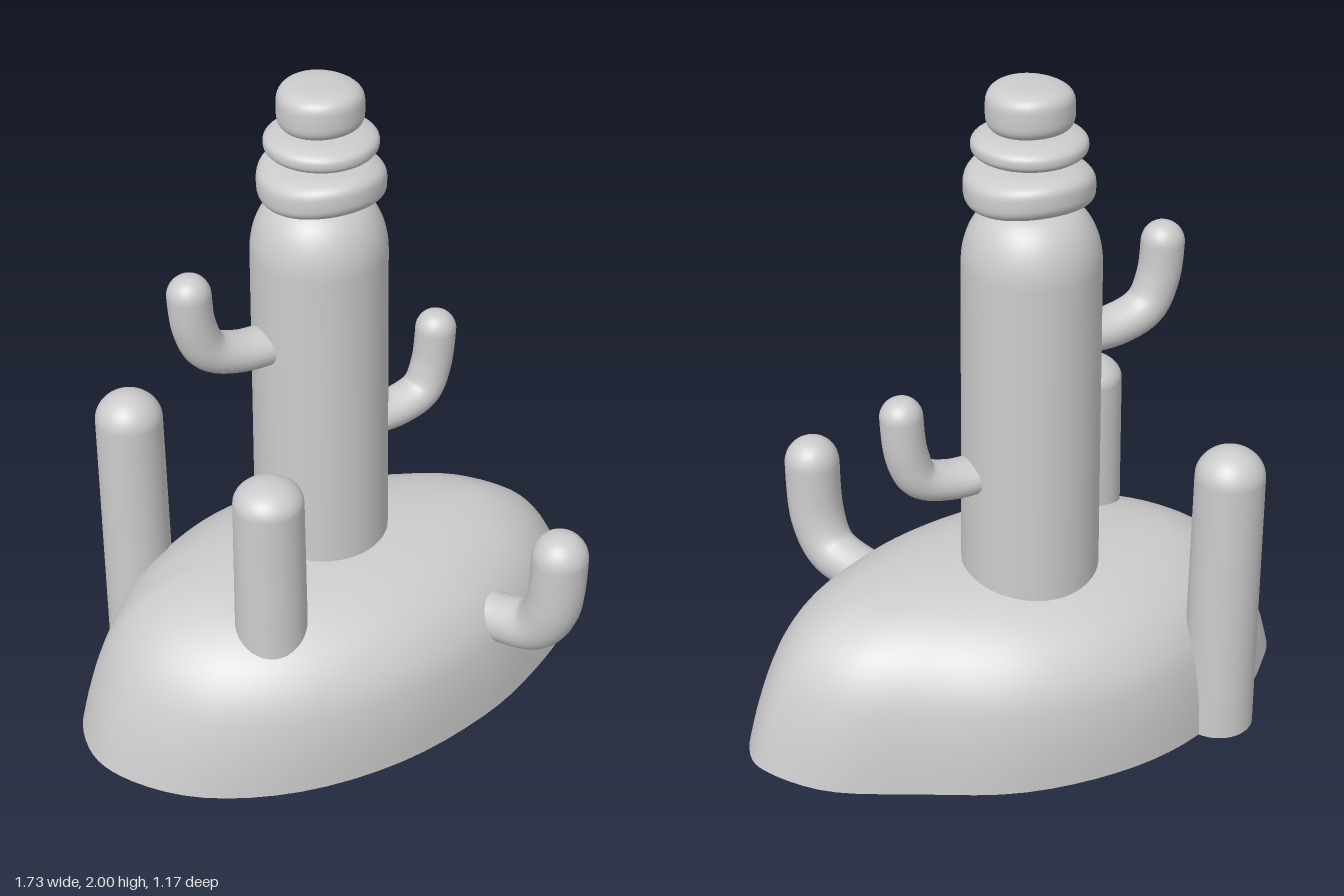
import * as THREE from 'three';
import { mergeVertices } from 'three/addons/utils/BufferGeometryUtils.js';

const material = new THREE.MeshStandardMaterial({ color: 0xcccccc, side: THREE.DoubleSide });
const V = (x, y, z) => new THREE.Vector3(x, y, z);

function smooth(geometry) {
  geometry.deleteAttribute('uv');
  geometry.deleteAttribute('normal');
  const merged = mergeVertices(geometry, 1e-5);
  merged.computeVertexNormals();
  return merged;
}

function addPart(group, name, geometry, x = 0, y = 0, z = 0) {
  const mesh = new THREE.Mesh(geometry, material);
  mesh.name = name;
  mesh.position.set(x, y, z);
  group.add(mesh);
}

// Egg-shaped open shell: a closed plan outline that shrinks as it rises
function moundGeometry() {
  const outline = new THREE.CatmullRomCurve3([
    [0.86, -0.06], [0.82, 0.06], [0.70, 0.195], [0.49, 0.315], [0.26, 0.40], [-0.09, 0.445],
    [-0.43, 0.39], [-0.69, 0.25], [-0.83, 0.07], [-0.865, -0.06], [-0.83, -0.21], [-0.757, -0.30],
    [-0.62, -0.42], [-0.34, -0.55], [-0.09, -0.585], [0.21, -0.545], [0.49, -0.415],
    [0.72, -0.285], [0.835, -0.14],
  ].map(([x, z]) => V(x, 0, z)), true);
  // height, x scale, z scale
  const profile = new THREE.CatmullRomCurve3([
    [0, 1, 1], [0.1, 0.967, 1], [0.2, 0.925, 0.985], [0.29, 0.875, 0.945], [0.37, 0.805, 0.85],
    [0.43, 0.71, 0.72], [0.475, 0.585, 0.56], [0.505, 0.38, 0.37], [0.517, 0.19, 0.18], [0.52, 0, 0],
  ].map(([y, kx, kz]) => V(kx, y, kz)));
  const n = 80, rows = 30, positions = [], index = [];
  for (let j = 0; j <= rows; j++) {
    const k = profile.getPoint(j / rows);
    for (let i = 0; i < n; i++) {
      const p = outline.getPoint(i / n);
      positions.push(p.x * k.x, k.y, -0.07 + (p.z + 0.07) * k.z);
      if (j === rows) continue;
      const a = j * n + i, b = j * n + (i + 1) % n;
      index.push(a, a + n, b, b, a + n, b + n);
    }
  }
  const geometry = new THREE.BufferGeometry();
  geometry.setAttribute('position', new THREE.Float32BufferAttribute(positions, 3));
  geometry.setIndex(index);
  geometry.computeVertexNormals();
  return geometry;
}

// Upright column, open below, with a domed top; slope tilts the bottom rim along z
function columnGeometry(bottom, top, r0, r1, dome, capRadius, slope = 0) {
  const points = [new THREE.Vector2(r0, bottom)];
  for (let i = 1; i <= 6; i++) {
    const t = i / 6;
    points.push(new THREE.Vector2(r0 + (r1 - r0) * t, bottom + (top - dome - bottom) * t));
  }
  for (let i = 1; i <= 12; i++) {
    const a = (i / 12) * Math.PI / 2;
    points.push(new THREE.Vector2(capRadius + (r1 - capRadius) * Math.cos(a), top - dome + dome * Math.sin(a)));
  }
  if (capRadius > 0) points.push(new THREE.Vector2(0, top));
  const geometry = new THREE.LatheGeometry(points, 48);
  const p = geometry.attributes.position;
  for (let i = 0; i < p.count; i++) {
    if (p.getY(i) < bottom + 1e-4) p.setY(i, bottom - slope * p.getZ(i));
  }
  return smooth(geometry);
}

// Bent limb: a tube that swells, with an oval root and a rounded tip
function limbGeometry(path, rootRadius, tipRadius, ovalZ) {
  const segments = 90, sides = 24;
  const curve = new THREE.CatmullRomCurve3(path, false, 'centripetal');
  const length = curve.getLength();
  const geometry = new THREE.TubeGeometry(curve, segments, 1, sides, false);
  const p = geometry.attributes.position, v = V(0, 0, 0);
  for (let i = 0; i <= segments; i++) {
    const t = i / segments, c = curve.getPointAt(t);
    const swell = Math.min(1, t / 0.6);
    let r = rootRadius + (tipRadius - rootRadius) * swell;
    const left = (1 - t) * length;
    if (left < tipRadius) r *= Math.sqrt(Math.max(0, 1 - (1 - left / tipRadius) ** 2));
    for (let j = 0; j <= sides; j++) {
      const k = i * (sides + 1) + j;
      v.fromBufferAttribute(p, k).sub(c).multiplyScalar(r);
      v.z *= ovalZ + (1 - ovalZ) * swell;
      v.add(c);
      p.setXYZ(k, v.x, v.y, v.z);
    }
  }
  return smooth(geometry);
}

// Flattened round stone, slightly saddle-bent
function stoneGeometry(radius, height, power, bend) {
  const points = [];
  for (let i = 0; i <= 32; i++) {
    const a = -Math.PI / 2 + (i / 32) * Math.PI;
    const c = Math.max(0, Math.cos(a)), s = Math.sin(a);
    points.push(new THREE.Vector2(radius * c ** power, (height / 2) * Math.sign(s) * Math.abs(s) ** power));
  }
  const geometry = new THREE.LatheGeometry(points, 48);
  const p = geometry.attributes.position;
  for (let i = 0; i < p.count; i++) {
    const x = p.getX(i) / radius, z = p.getZ(i) / radius;
    p.setY(i, p.getY(i) - bend * (x * x - z * z));
  }
  return smooth(geometry);
}

export function createModel() {
  const model = new THREE.Group();
  model.name = 'cactusMound';

  addPart(model, 'mound', moundGeometry());

  // Columns
  addPart(model, 'trunk', columnGeometry(0, 1.66, 0.208, 0.197, 0.18, 0.08), -0.02, 0, -0.13);
  addPart(model, 'backColumn', columnGeometry(0, 0.945, 0.108, 0.102, 0.09, 0), -0.483, 0, -0.48);
  addPart(model, 'frontColumn', columnGeometry(0.43, 0.968, 0.107, 0.102, 0.07, 0, 0.4), -0.36, 0, 0.155);

  // Bent limbs
  addPart(model, 'leftArm', limbGeometry([
    V(0.1, 0.845, -0.13), V(0.25, 0.847, -0.13), V(0.335, 0.88, -0.13),
    V(0.37, 0.96, -0.13), V(0.385, 1.145, -0.125),
  ], 0.05, 0.062, 1.45));
  addPart(model, 'rightArm', limbGeometry([
    V(-0.1, 1.22, -0.13), V(-0.29, 1.225, -0.13), V(-0.385, 1.265, -0.13),
    V(-0.425, 1.35, -0.13), V(-0.44, 1.52, -0.13),
  ], 0.053, 0.063, 1.4));
  addPart(model, 'frontSprout', limbGeometry([
    V(0.27, 0.30, 0.17), V(0.355, 0.30, 0.35), V(0.395, 0.33, 0.435),
    V(0.415, 0.42, 0.485), V(0.42, 0.70, 0.505),
  ], 0.067, 0.085, 1.15));

  // Stacked stones
  addPart(model, 'lowerStone', stoneGeometry(0.182, 0.13, 0.6, 0.012), -0.018, 1.714, -0.117);
  addPart(model, 'middleStone', stoneGeometry(0.161, 0.085, 0.75, 0), -0.018, 1.828, -0.117);
  addPart(model, 'topStone', stoneGeometry(0.122, 0.135, 0.55, 0.004), -0.018, 1.9325, -0.12);

  return model;
}
